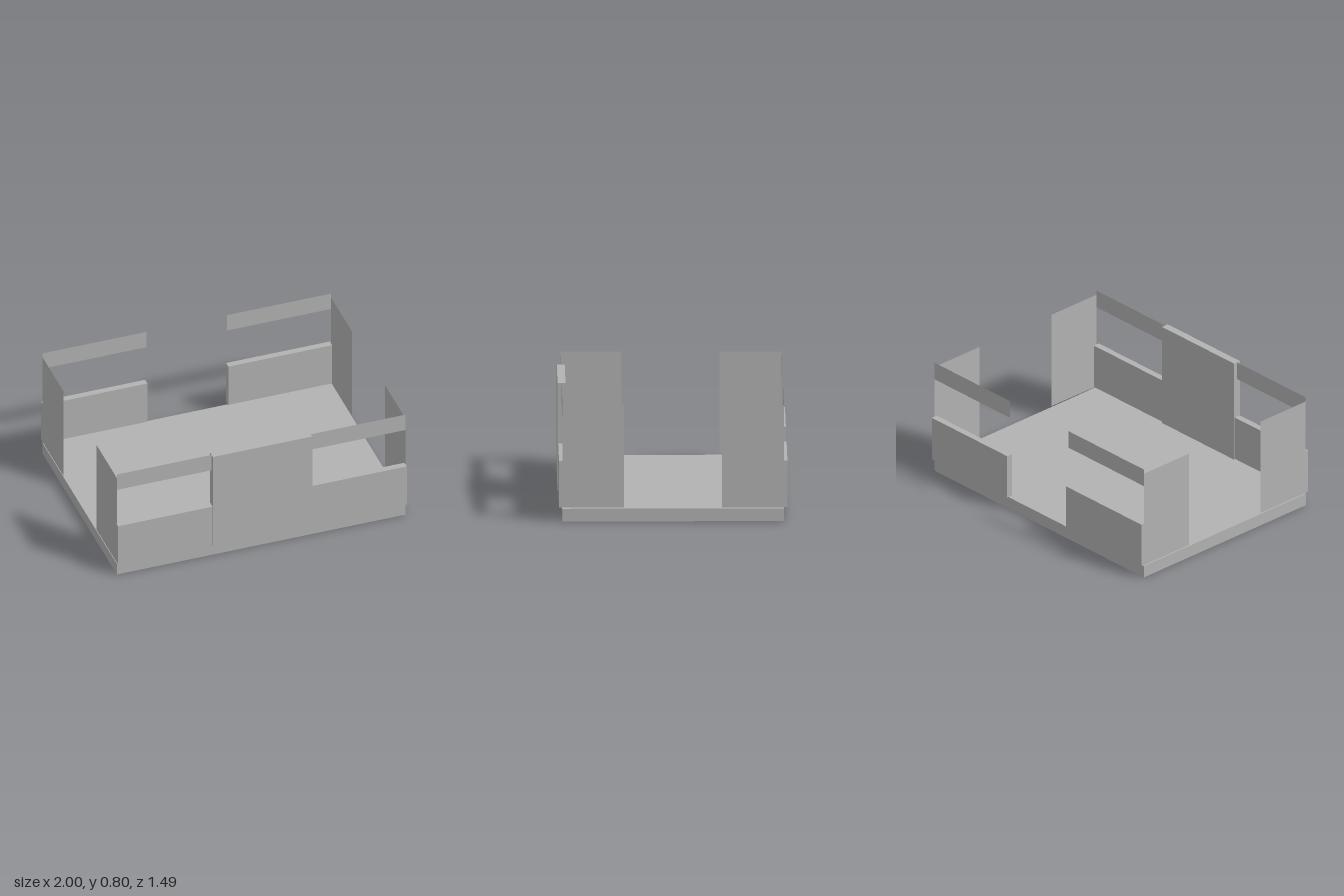
import * as THREE from 'three';

export function createModel() {
  const model = new THREE.Group();
  const grey = new THREE.MeshStandardMaterial({ color: 0xb2b2b2, side: THREE.DoubleSide });
  grey.name = 'plain grey';

  const add = (name, geometry, x, y, z) => {
    const mesh = new THREE.Mesh(geometry, grey);
    mesh.name = name;
    mesh.position.set(x, y, z);
    model.add(mesh);
    return mesh;
  };

  // Solid block given by its limits on each axis
  const block = (name, [x0, x1], [y0, y1], [z0, z1]) =>
    add(name, new THREE.BoxGeometry(x1 - x0, y1 - y0, z1 - z0),
      (x0 + x1) / 2, (y0 + y1) / 2, (z0 + z1) / 2);

  // Floor slab and tall centre panel at the front
  block('floor', [-1, 1], [0, 0.084], [-0.723, 0.723]);
  block('frontCentrePanel', [-0.345, 0.345], [0.087, 0.8], [0.696, 0.748]);

  for (const side of [1, -1]) {
    const label = side > 0 ? 'Left' : 'Right';
    const span = (a, b) => (side > 0 ? [a, b] : [-b, -a]);

    // Low walls, with an opening in the middle of the back
    block('frontLowWall' + label, span(0.345, 1), [0.094, 0.4], [0.7, 0.744]);
    block('backLowWall' + label, span(0.28, 1), [0.094, 0.4], [-0.746, -0.702]);

    for (const end of [1, -1]) {
      const where = end > 0 ? 'front' : 'back';

      // Thin upper bands
      const inner = end > 0 ? 0.345 : 0.28;
      add(where + 'UpperBand' + label, new THREE.PlaneGeometry(1 - inner, 0.123),
        side * (1 + inner) / 2, 0.7385, end * 0.722)
        .rotation.y = end > 0 ? 0 : Math.PI;

      // Thin side panels at the corners
      add(where + 'SidePanel' + label, new THREE.PlaneGeometry(0.402, 0.678),
        side * 0.999, 0.43, end * 0.521)
        .rotation.y = side * Math.PI / 2;
    }
  }
  return model;
}
